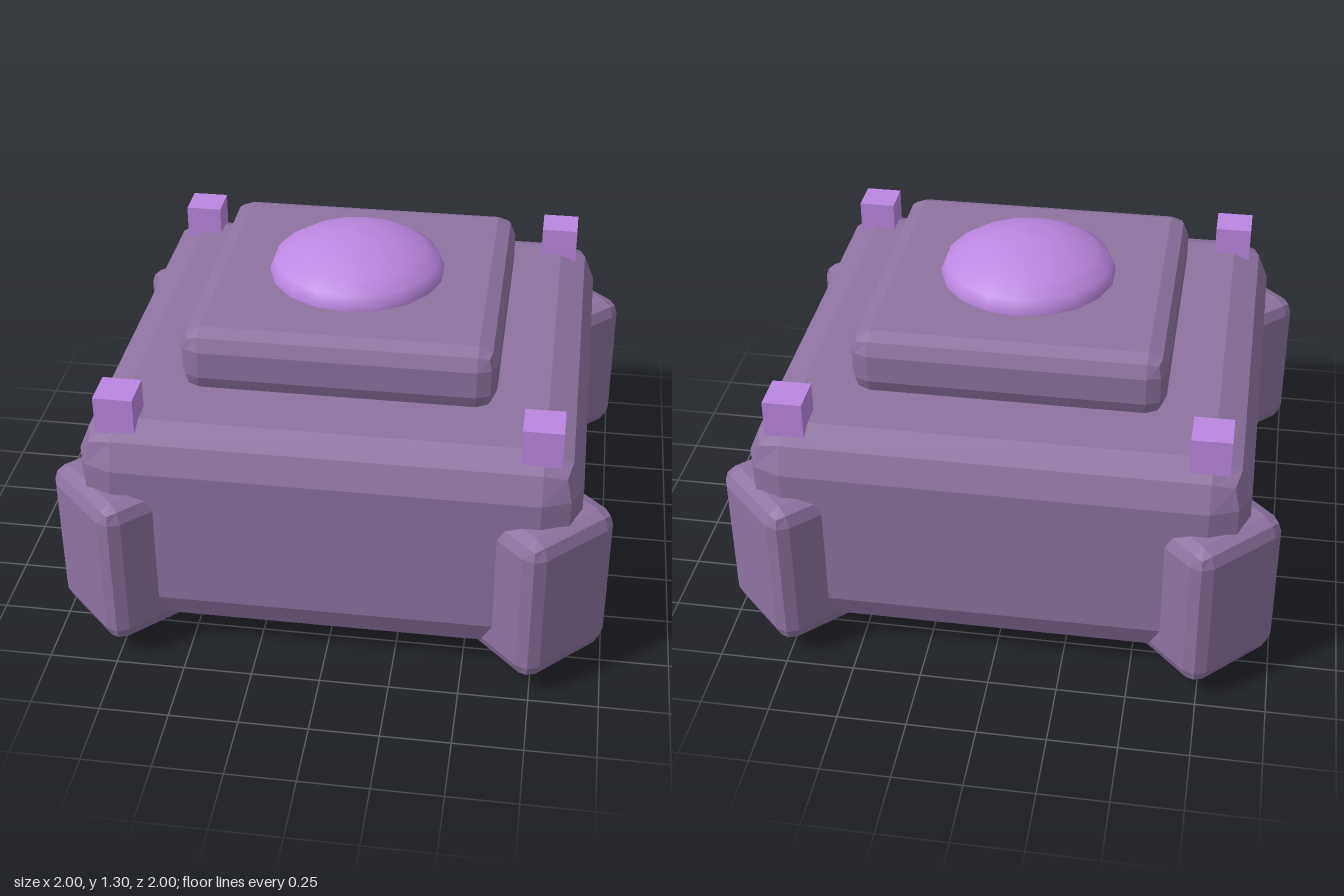
import * as THREE from 'three';
import { RoundedBoxGeometry } from 'three/addons/geometries/RoundedBoxGeometry.js';

export function createModel() {
  const model = new THREE.Group();
  model.name = 'emitterBase';

  const casing = new THREE.MeshStandardMaterial({ color: 0x8d739f, flatShading: true });
  casing.name = 'dusty purple casing';
  const glow = new THREE.MeshStandardMaterial({ color: 0xba87e1 });
  glow.name = 'bright violet';

  function add(name, geometry, material, x, y, z, turn = 0) {
    const mesh = new THREE.Mesh(geometry, material);
    mesh.name = name;
    mesh.position.set(x, y, z);
    mesh.rotation.y = turn;
    model.add(mesh);
    return mesh;
  }

  // Box with a two-step bevel on every edge, spanning y0 to y1
  function bevelledBox(name, width, y0, y1, bevel, x = 0, z = 0, turn = 0) {
    const geometry = new RoundedBoxGeometry(width, y1 - y0, width, 1, bevel);
    return add(name, geometry, casing, x, (y0 + y1) / 2, z, turn);
  }

  // Main body and the raised block on top
  bevelledBox('body', 1.78, 0.09, 0.91, 0.14);
  bevelledBox('upperBlock', 1.13, 0.908, 1.15, 0.07);

  // Corner buttresses turned 45 degrees, each with a small light cube above
  const corner = 0.74;
  const cube = new THREE.BoxGeometry(0.14, 0.14, 0.14);
  for (const [side, sx] of [['Left', 1], ['Right', -1]]) {
    for (const [end, sz] of [['front', 1], ['back', -1]]) {
      const x = sx * corner, z = sz * corner;
      bevelledBox(`${end}${side}Buttress`, 0.403, 0.083, 0.676, 0.06, x, z, Math.PI / 4);
      add(`${end}${side}Light`, cube, glow, x, 0.95, z);
    }
  }

  // Shallow dome
  const profile = [[0.325, 1.14], [0.325, 1.165], [0.308, 1.205], [0.25, 1.243], [0.17, 1.278], [0.085, 1.298], [0, 1.305]]
    .map(([r, y]) => new THREE.Vector2(r, y));
  add('dome', new THREE.LatheGeometry(profile, 18), glow, 0, 0, 0);

  // Diagonal crossed runners underneath
  const runner = new THREE.BoxGeometry(1.725, 0.12, 0.085);
  add('runnerA', runner, glow, 0, 0.06, 0, Math.PI / 4);
  add('runnerB', runner, glow, 0, 0.06, 0, -Math.PI / 4);

  return model;
}
